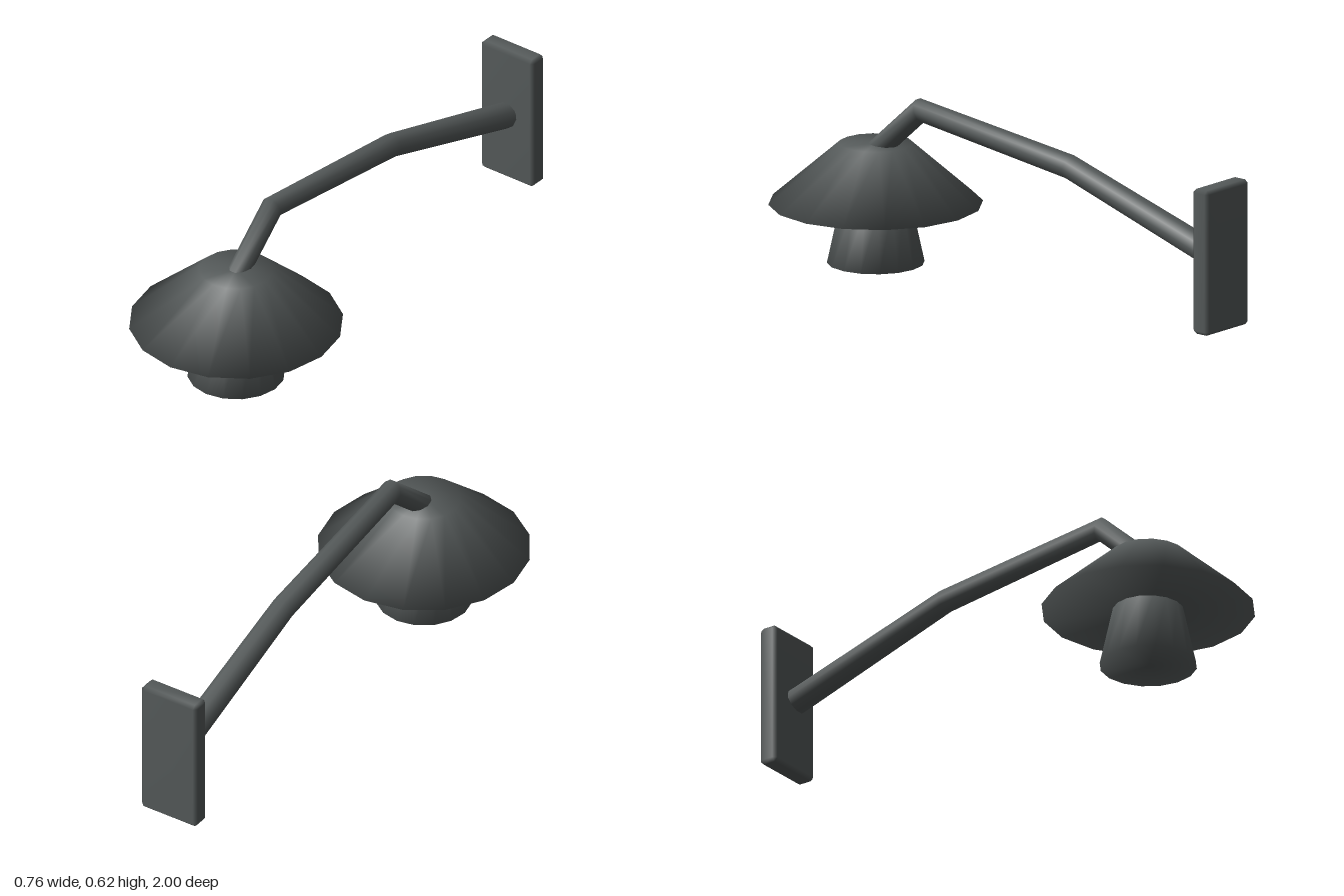
import * as THREE from 'three';
import { mergeVertices } from 'three/addons/utils/BufferGeometryUtils.js';
import { ConvexGeometry } from 'three/addons/geometries/ConvexGeometry.js';

const SIDES = 10;

// Weld shared corners so normals blend over every edge
function smooth(geometry) {
  geometry.deleteAttribute('normal');
  geometry.deleteAttribute('uv');
  const welded = mergeVertices(geometry, 1e-4);
  welded.computeVertexNormals();
  return welded;
}

// Closed frustum standing between two heights
function frustum(rTop, rBottom, y0, y1) {
  const g = new THREE.CylinderGeometry(rTop, rBottom, y1 - y0, 16);
  g.translate(0, (y0 + y1) / 2, 0);
  return smooth(g);
}

// Box with every edge chamfered
function chamferBox(w, h, d, c) {
  const points = [];
  for (const x of [-w / 2, w / 2])
    for (const y of [-h / 2, h / 2])
      for (const z of [-d / 2, d / 2])
        for (let axis = 0; axis < 3; axis++) {
          const inset = [c, c, c];
          inset[axis] = 0;
          points.push(new THREE.Vector3(
            x - Math.sign(x) * inset[0], y - Math.sign(y) * inset[1], z - Math.sign(z) * inset[2]));
        }
  return smooth(new ConvexGeometry(points));
}

// Tapered, mitred pipe through [z, y, radius] points, capped at both ends
function bentPipe(path) {
  const pos = [], index = [];
  const angle = (a, b) => Math.atan2(b[1] - a[1], a[0] - b[0]);
  const last = path.length - 1;
  path.forEach((p, i) => {
    const before = angle(path[Math.max(i - 1, 0)], path[Math.max(i, 1)]);
    const after = angle(path[Math.min(i, last - 1)], path[Math.min(i + 1, last)]);
    const tilt = (before + after) / 2;
    const stretch = p[2] / Math.cos((after - before) / 2);
    for (let k = 0; k < SIDES; k++) {
      const a = (k / SIDES) * Math.PI * 2;
      const up = Math.sin(a) * stretch;
      pos.push(Math.cos(a) * p[2], p[1] + up * Math.cos(tilt), p[0] + up * Math.sin(tilt));
    }
  });
  const startCap = pos.length / 3, endCap = startCap + 1;
  pos.push(0, path[0][1], path[0][0], 0, path[last][1], path[last][0]);
  for (let k = 0; k < SIDES; k++) {
    const n = (k + 1) % SIDES;
    for (let i = 0; i < last; i++) {
      const a = i * SIDES + k, b = i * SIDES + n;
      index.push(a, a + SIDES, b, b, a + SIDES, b + SIDES);
    }
    index.push(startCap, k, n, endCap, last * SIDES + n, last * SIDES + k);
  }
  // Outward winding: the pipe runs from +z to -z
  for (let i = 0; i < index.length; i += 3) {
    [index[i + 1], index[i + 2]] = [index[i + 2], index[i + 1]];
  }
  const g = new THREE.BufferGeometry();
  g.setAttribute('position', new THREE.Float32BufferAttribute(pos, 3));
  g.setIndex(index);
  // Flip the whole shell if its signed volume is negative
  const v = [0, 1, 2].map(() => new THREE.Vector3());
  let volume = 0;
  for (let i = 0; i < index.length; i += 3) {
    v.forEach((q, j) => q.fromArray(pos, index[i + j] * 3));
    volume += v[0].dot(v[1].clone().cross(v[2]));
  }
  if (volume < 0) g.setIndex(index.slice().reverse());
  g.computeVertexNormals();
  return g;
}

export function createModel() {
  const model = new THREE.Group();
  model.name = 'wallLamp';
  const metal = new THREE.MeshStandardMaterial({ color: 0x555a5a });
  metal.name = 'darkGreyMetal';

  const add = (name, geometry, y = 0, z = 0) => {
    const mesh = new THREE.Mesh(geometry, metal);
    mesh.name = name;
    mesh.position.set(0, y, z);
    model.add(mesh);
  };

  // Lamp head
  add('shade', frustum(0.13, 0.378, 0.215, 0.432), 0, 0.622);
  add('lampGlass', frustum(0.125, 0.172, 0, 0.216), 0, 0.622);

  // Bent arm from the shade to the wall
  add('arm', bentPipe([
    [0.62, 0.403, 0.039],
    [0.415, 0.586, 0.039],
    [-0.27, 0.499, 0.043],
    [-0.924, 0.294, 0.048],
  ]));

  // Wall plate
  add('wallPlate', chamferBox(0.234, 0.526, 0.072, 0.013), 0.293, -0.964);
  return model;
}
